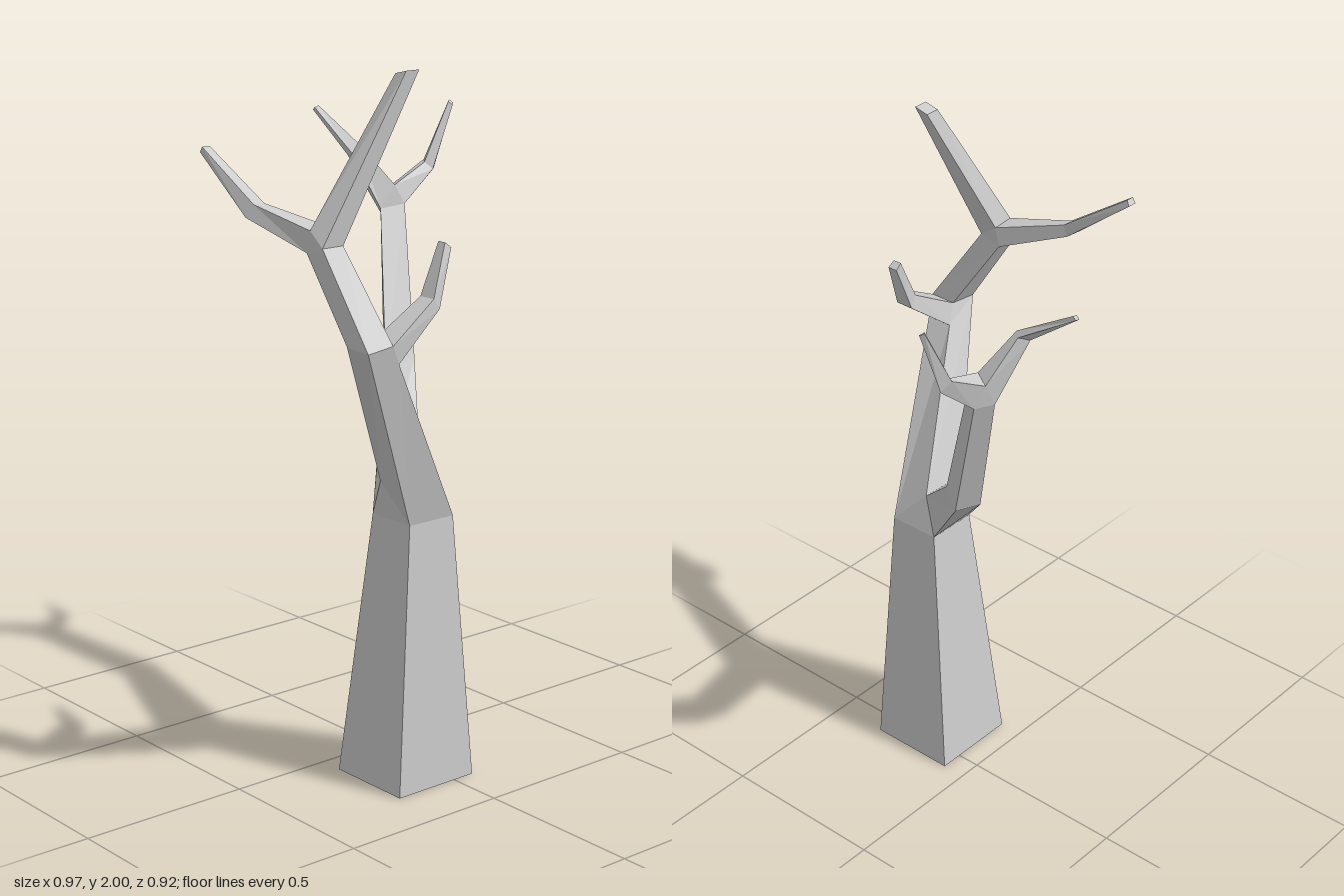
import * as THREE from 'three';

const material = new THREE.MeshStandardMaterial({ color: 0xcccccc, flatShading: true, side: THREE.DoubleSide });

// Skins four-cornered rings into a faceted limb; extra triangles close a fork.
function limb(name, rings, { cap = false, extra = [] } = {}) {
  const pos = [];
  const tri = (a, b, c) => pos.push(...a, ...b, ...c);
  for (let k = 0; k < rings.length - 1; k++) {
    const lo = rings[k], hi = rings[k + 1];
    for (let i = 0; i < 4; i++) {
      const j = (i + 1) % 4;
      tri(lo[i], lo[j], hi[j]);
      tri(lo[i], hi[j], hi[i]);
    }
  }
  if (cap) {
    const [a, b, c, d] = rings[rings.length - 1];
    tri(a, b, c);
    tri(a, c, d);
  }
  extra.forEach((t) => tri(...t));
  const geo = new THREE.BufferGeometry();
  geo.setAttribute('position', new THREE.Float32BufferAttribute(pos, 3));
  geo.computeVertexNormals();
  const mesh = new THREE.Mesh(geo, material);
  mesh.name = name;
  return mesh;
}

// Splits a ring along the crotch edge p-q into two new rings and two gussets.
function fork([a, b, c, d], p, q) {
  return { first: [a, b, p, q], second: [c, d, q, p], gussets: [[b, c, p], [d, a, q]] };
}

const rotate = (r) => [...r.slice(1), r[0]];
const square = (x0, x1, z0, z1, y) => [[x0, y, z1], [x1, y, z1], [x1, y, z0], [x0, y, z0]];

export function createModel() {
  const tree = new THREE.Group();
  tree.name = 'bareTree';

  // Trunk, open underneath
  const trunkTop = square(-0.15, 0.005, 0.16, 0.315, 0.77);
  const trunkFork = fork(trunkTop, [-0.025, 0.875, 0.215], [-0.165, 0.875, 0.21]);
  tree.add(limb('trunk', [square(-0.2, 0.068, 0.07, 0.335, 0), trunkTop], { extra: trunkFork.gussets }));

  // Front limb, leaning right and forward
  const frontEnd = [[-0.415, 1.31, 0.46], [-0.3, 1.265, 0.445], [-0.3, 1.265, 0.365], [-0.415, 1.315, 0.375]];
  const frontFork = fork(rotate(frontEnd), [-0.333, 1.32, 0.38], [-0.333, 1.32, 0.46]);
  tree.add(limb('frontLimb', [trunkFork.first, frontEnd], { extra: frontFork.gussets }));

  // Small twig bending inward from the front limb
  tree.add(limb('innerTwig', [
    frontFork.first,
    [[-0.145, 1.385, 0.425], [-0.145, 1.385, 0.37], [-0.17, 1.415, 0.377], [-0.17, 1.415, 0.43]],
    [[-0.08, 1.535, 0.395], [-0.08, 1.535, 0.365], [-0.1, 1.55, 0.367], [-0.1, 1.55, 0.393]],
  ], { cap: true }));

  // Upper part of the front limb
  const upperEnd = [[-0.433, 1.54, 0.235], [-0.433, 1.56, 0.3], [-0.365, 1.56, 0.3], [-0.365, 1.54, 0.235]];
  const upperFork = fork(rotate(upperEnd), [-0.36, 1.6, 0.243], [-0.433, 1.6, 0.25]);
  tree.add(limb('upperLimb', [frontFork.second, upperEnd], { extra: upperFork.gussets }));

  // Tall straight branch
  tree.add(limb('tallBranch', [
    upperFork.first,
    [[-0.21, 2, 0.365], [-0.167, 2, 0.365], [-0.167, 1.99, 0.322], [-0.21, 1.99, 0.322]],
  ], { cap: true }));

  // Twig reaching backward
  tree.add(limb('rearwardTwig', [
    upperFork.second,
    [[-0.435, 1.61, 0.045], [-0.48, 1.61, 0.04], [-0.465, 1.645, 0.055], [-0.43, 1.645, 0.055]],
    [[-0.457, 1.76, -0.15], [-0.485, 1.76, -0.15], [-0.485, 1.775, -0.14], [-0.46, 1.775, -0.14]],
  ], { cap: true }));

  // Back limb, leaning left and backward
  const backBend = [[0.21, 1.085, -0.105], [0.13, 1.075, -0.125], [0.09, 1.105, -0.07], [0.172, 1.118, -0.04]];
  const backEnd = [[0.3, 1.51, -0.25], [0.235, 1.5, -0.265], [0.203, 1.52, -0.227], [0.275, 1.53, -0.205]];
  const backFork = fork(rotate(backEnd), [0.25, 1.585, -0.22], [0.276, 1.575, -0.268]);
  tree.add(limb('backLimb', [trunkFork.second, backBend, backEnd], { extra: backFork.gussets }));

  // Twigs at the end of the back limb
  tree.add(limb('backTwig', [
    backFork.first,
    [[0.15, 1.67, -0.31], [0.142, 1.68, -0.282], [0.175, 1.7, -0.285], [0.188, 1.69, -0.3]],
    [[0.145, 1.785, -0.462], [0.143, 1.793, -0.452], [0.158, 1.797, -0.452], [0.16, 1.788, -0.462]],
  ], { cap: true }));
  tree.add(limb('outerTwig', [
    backFork.second,
    [[0.4, 1.615, -0.225], [0.42, 1.612, -0.245], [0.395, 1.64, -0.26], [0.38, 1.635, -0.24]],
    [[0.475, 1.795, -0.225], [0.485, 1.8, -0.235], [0.478, 1.808, -0.245], [0.466, 1.803, -0.235]],
  ], { cap: true }));

  return tree;
}
